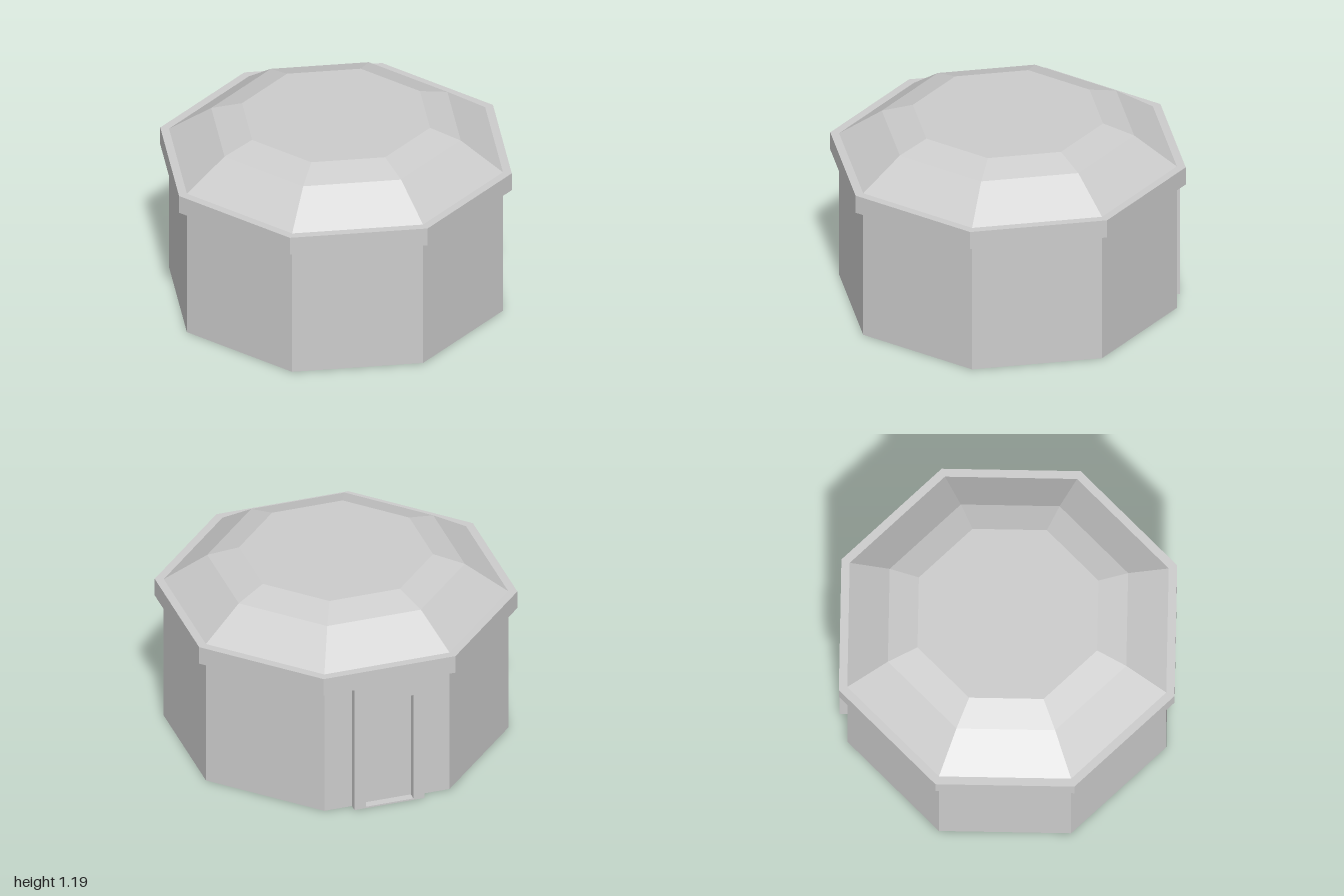
import * as THREE from 'three';

const material = new THREE.MeshStandardMaterial({ color: 0xcccccc, flatShading: true });

// Octagonal solid from a bottom-to-top profile of [distance to flat side, height]
function octagon(name, profile) {
  const points = profile.map(([a, y]) => new THREE.Vector2(a / Math.cos(Math.PI / 8), y));
  const mesh = new THREE.Mesh(new THREE.LatheGeometry(points, 8, Math.PI / 8), material);
  mesh.name = name;
  return mesh;
}

// Rectangle outline, added to a Shape or Path
function rectangle(path, halfWidth, bottom, top) {
  path.moveTo(-halfWidth, bottom);
  path.lineTo(halfWidth, bottom);
  path.lineTo(halfWidth, top);
  path.lineTo(-halfWidth, top);
  path.closePath();
  return path;
}

export function createModel() {
  const group = new THREE.Group();
  group.name = 'octagonalBuilding';

  // Walls with closed floor
  group.add(octagon('walls', [[0, 0], [0.95, 0], [0.95, 0.835]]));

  // Overhanging band under the roof
  group.add(octagon('eaves', [[0.95, 0.835], [1, 0.835], [1, 0.95], [0.95, 0.95]]));

  // Two-pitch roof with a flat top
  group.add(octagon('roof', [[0.95, 0.95], [0.71, 1.13], [0.535, 1.19], [0, 1.19]]));

  // Door frame with jambs, lintel and thin sill on the back wall
  const outline = rectangle(new THREE.Shape(), 0.22, 0, 0.835);
  outline.holes.push(rectangle(new THREE.Path(), 0.15, 0.01, 0.73));
  const frame = new THREE.Mesh(
    new THREE.ExtrudeGeometry(outline, { depth: 0.05, bevelEnabled: false }), material);
  frame.name = 'doorFrame';
  frame.position.z = -1;
  group.add(frame);

  return group;
}
